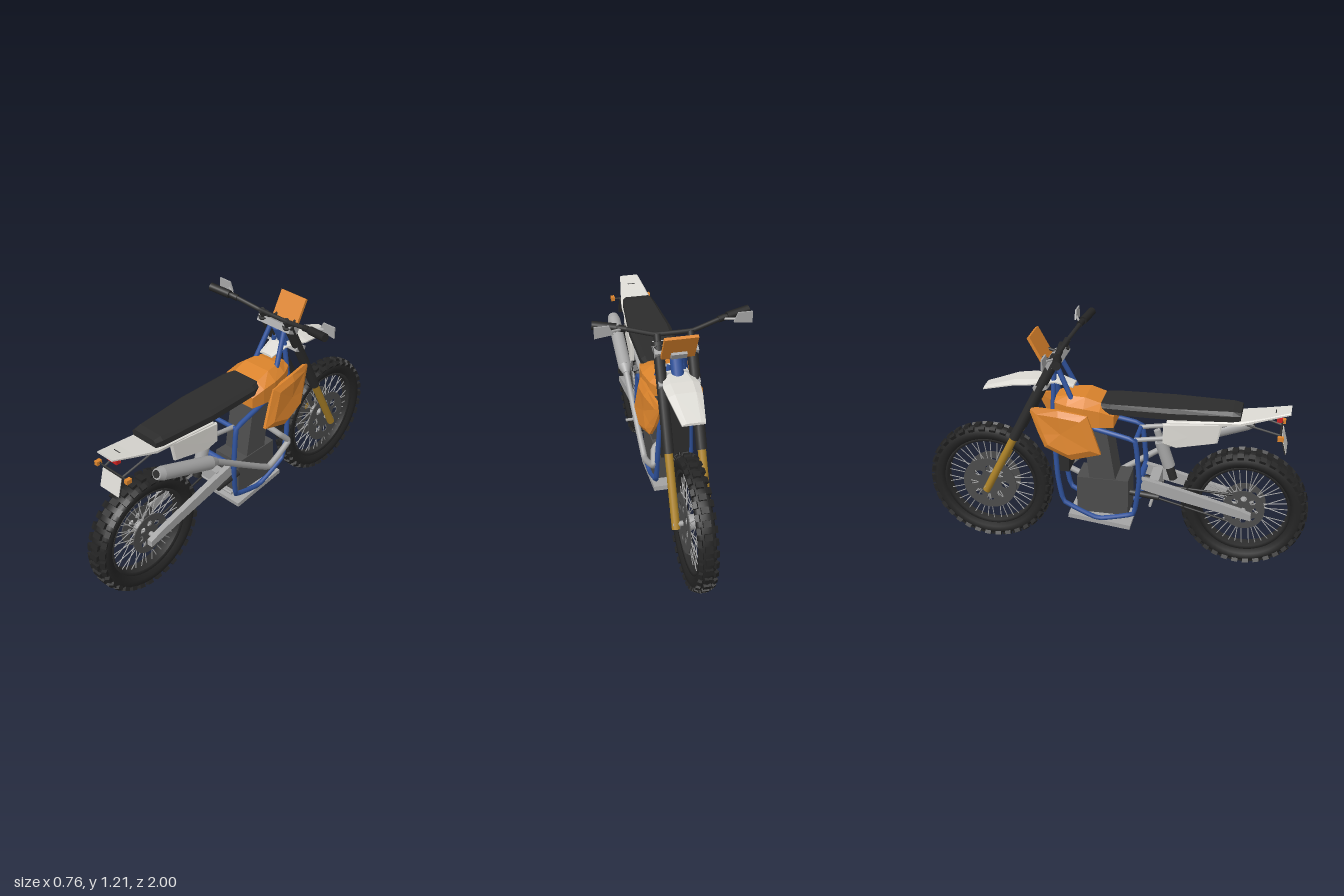
import * as THREE from 'three';
import { mergeGeometries } from 'three/addons/utils/BufferGeometryUtils.js';

const mat = (name, color) => Object.assign(new THREE.MeshStandardMaterial({ color }), { name });
const M = {
  tyre: mat('tyre black', 0x242424), black: mat('plastic black', 0x2c2c2c), dark: mat('motor grey', 0x4c4c4c),
  metal: mat('light metal', 0xa6a6a6), white: mat('body white', 0xdcdad4), orange: mat('body orange', 0xdc842c),
  blue: mat('frame blue', 0x2f529c), gold: mat('fork gold', 0xac8228), red: mat('lamp red', 0xcc2020),
};
const V = (p) => new THREE.Vector3(...p);

// Flat-shaded solid through rings of equal point count, closed at both ends
function loft(rings) {
  const n = rings[0].length, tris = [];
  for (let r = 0; r + 1 < rings.length; r++) for (let i = 0; i < n; i++) {
    const j = (i + 1) % n, a = rings[r][i], b = rings[r][j], c = rings[r + 1][j], d = rings[r + 1][i];
    tris.push([a, b, c], [a, c, d]);
  }
  const cap = (ring, flip) => {
    const m = [0, 1, 2].map((k) => ring.reduce((s, p) => s + p[k], 0) / n);
    ring.forEach((p, i) => { const q = ring[(i + 1) % n]; tris.push(flip ? [m, q, p] : [m, p, q]); });
  };
  cap(rings[0], true); cap(rings[rings.length - 1], false);
  const volume = tris.reduce((s, [a, b, c]) => s + V(a).dot(V(b).cross(V(c))), 0);
  const g = new THREE.BufferGeometry();
  g.setAttribute('position', new THREE.Float32BufferAttribute((volume < 0 ? tris.map((t) => [...t].reverse()) : tris).flat(2), 3));
  g.computeVertexNormals();
  return g;
}
// Body section along z: [z, half width, bottom, shoulder, top]
const body = (list, inset = 0.6) => loft(list.map(([z, w, b, m, t]) =>
  [[w, b, z], [w, m, z], [w * inset, t, z], [-w * inset, t, z], [-w, m, z], [-w, b, z]]));
// Side panel from an outline of [x, y, z], with a raised inner face
function panel(outline, thick, rise, shrink, s) {
  const c = [0, 1, 2].map((k) => outline.reduce((t, p) => t + p[k], 0) / outline.length);
  const ring = (dx, f) => outline.map((p) => [s * (p[0] + dx), c[1] + (p[1] - c[1]) * f, c[2] + (p[2] - c[2]) * f]);
  return loft([ring(-thick, 1), ring(0, 1), ring(rise, shrink)]);
}
function rod(a, b, r, r2 = r, seg = 14) {
  const A = V(a), B = V(b), d = B.clone().sub(A);
  const g = new THREE.CylinderGeometry(r2, r, d.length(), seg);
  g.applyQuaternion(new THREE.Quaternion().setFromUnitVectors(new THREE.Vector3(0, 1, 0), d.normalize()));
  return g.translate(...A.add(B).multiplyScalar(0.5).toArray());
}
const tube = (pts, r) => new THREE.TubeGeometry(new THREE.CatmullRomCurve3(pts.map(V), false, 'catmullrom', 0.12), 60, r, 10);
const box = (w, h, d, x, y, z, rx = 0) => new THREE.BoxGeometry(w, h, d).rotateX(rx).translate(x, y, z);

function addTo(group, name, material, ...geos) {
  const g = geos.length > 1 ? mergeGeometries(geos.map((q) => (q.index ? q.toNonIndexed() : q)).map((q) => {
    q.deleteAttribute('uv'); return q;
  })) : geos[0];
  const mesh = new THREE.Mesh(g, material);
  mesh.name = name;
  group.add(mesh);
}

function wheel(name, z, y, R, w, rimR, discR) {
  const g = new THREE.Group();
  g.name = name;
  const lathe = (pts) => new THREE.LatheGeometry(pts.map((p) => new THREE.Vector2(...p)), 56).rotateZ(Math.PI / 2);
  const base = R - 0.009, h = base - rimR;
  addTo(g, 'tyre', M.tyre, lathe([[rimR, -w * 0.6], [rimR + h * 0.3, -w * 0.92], [rimR + h * 0.65, -w * 0.95], [base - 0.012, -w * 0.7],
    [base, 0], [base - 0.012, w * 0.7], [rimR + h * 0.65, w * 0.95], [rimR + h * 0.3, w * 0.92], [rimR, w * 0.6], [rimR, -w * 0.6]]));
  // Tread blocks: a staggered centre row and two shoulder rows
  const knobs = [], spokes = [], N = 34;
  for (let i = 0; i < N; i++) {
    const a = (i / N) * Math.PI * 2;
    knobs.push(box(w * 0.8, 0.022, 0.03, 0, R - 0.011, 0).rotateX(a));
    for (const s of [-1, 1]) knobs.push(new THREE.BoxGeometry(w * 0.45, 0.03, 0.032).rotateZ(-s * 0.5)
      .translate(s * w * 0.75, R - 0.024, 0).rotateX(a + Math.PI / N));
  }
  addTo(g, 'treadBlocks', M.tyre, ...knobs);
  addTo(g, 'rim', M.black, lathe([[rimR - 0.012, -w * 0.55], [rimR + 0.004, -w * 0.65], [rimR + 0.004, w * 0.65], [rimR - 0.012, w * 0.55], [rimR - 0.012, -w * 0.55]]));
  for (let i = 0; i < 40; i++) {
    const a = (i / 40) * Math.PI * 2, s = i % 2 ? 1 : -1, b = a + (i % 4 < 2 ? 0.35 : -0.35);
    spokes.push(rod([s * 0.03, 0.035 * Math.cos(b), 0.035 * Math.sin(b)], [0, rimR * Math.cos(a), rimR * Math.sin(a)], 0.0025, 0.0025, 5));
  }
  addTo(g, 'spokes', M.metal, ...spokes);
  addTo(g, 'hub', M.metal, rod([-0.038, 0, 0], [0.038, 0, 0], 0.037), rod([-0.095, 0, 0], [0.095, 0, 0], 0.013));
  // Brake discs with a ring of openings
  const shape = new THREE.Shape().absarc(0, 0, discR, 0, Math.PI * 2);
  for (let i = 0; i < 8; i++) {
    const a = (i / 8) * Math.PI * 2;
    shape.holes.push(new THREE.Path().absarc(discR * 0.58 * Math.cos(a), discR * 0.58 * Math.sin(a), discR * 0.15, 0, Math.PI * 2, true));
  }
  const disc = (x) => new THREE.ExtrudeGeometry(shape, { depth: 0.005, bevelEnabled: false, curveSegments: 20 }).rotateY(Math.PI / 2).translate(x, 0, 0);
  addTo(g, 'brakeDiscs', M.dark, disc(0.04), disc(-0.045));
  g.position.set(0, y, z);
  return g;
}

export function createModel() {
  const root = new THREE.Group();
  root.name = 'motorcycle';
  const add = (...a) => addTo(root, ...a);
  const both = (fn) => [1, -1].flatMap(fn);

  root.add(wheel('rearWheel', 0.678, 0.333, 0.323, 0.058, 0.235, 0.108));
  root.add(wheel('frontWheel', -0.665, 0.338, 0.334, 0.044, 0.25, 0.145));

  // Frame
  add('frame', M.blue, ...both((s) => [
    tube([[s * 0.045, 1.06, -0.285], [s * 0.08, 0.82, -0.17], [s * 0.09, 0.745, -0.1], [s * 0.1, 0.695, 0.125], [s * 0.105, 0.47, 0.15],
      [s * 0.09, 0.27, 0.12], [s * 0.08, 0.215, -0.07], [s * 0.085, 0.30, -0.25], [s * 0.085, 0.45, -0.28], [s * 0.07, 0.75, -0.3], [s * 0.03, 1.0, -0.3]], 0.013),
  ]), rod([-0.1, 0.69, 0.125], [0.1, 0.69, 0.125], 0.012), rod([-0.1, 0.47, 0.15], [0.1, 0.47, 0.15], 0.016), rod([0, 1.07, -0.285], [0, 0.93, -0.355], 0.03));
  add('subframe', M.metal, ...both((s) => [rod([s * 0.075, 0.69, 0.12], [s * 0.075, 0.72, 0.3], 0.012), rod([s * 0.075, 0.72, 0.3], [s * 0.06, 0.83, 0.62], 0.01)]));

  // Motor, battery and radiator
  add('motor', M.dark, box(0.16, 0.2, 0.268, 0, 0.35, -0.046));
  add('battery', M.dark, loft([[0.45, 0.02, -0.115], [0.76, -0.03, -0.15]].map(([y, a, b]) => [[-0.075, y, a], [0.075, y, a], [0.075, y, b], [-0.075, y, b]])));
  add('radiator', M.black, box(0.14, 0.34, 0.085, 0, 0.64, -0.265));
  add('skidPlate', M.metal, box(0.18, 0.024, 0.33, 0, 0.2, -0.063, 0.12));
  add('footPegs', M.metal, rod([-0.152, 0.365, 0.215], [0.152, 0.365, 0.215], 0.008));
  add('pegBrackets', M.black, ...both((s) => [rod([s * 0.085, 0.38, 0.25], [s * 0.085, 0.395, 0.1], 0.016)]));

  // Rear suspension and drive
  add('swingarm', M.metal, ...both((s) => [loft([[0.15, 0.455, 0.03], [0.3, 0.42, 0.032], [0.66, 0.335, 0.022], [0.72, 0.318, 0.016]].map(([z, y, h]) =>
    [[s * 0.068, y - h, z], [s * 0.098, y - h, z], [s * 0.098, y + h, z], [s * 0.068, y + h, z]]))]), box(0.15, 0.07, 0.05, 0, 0.435, 0.22));
  add('chain', M.black, rod([-0.055, 0.265, 0.6], [-0.055, 0.38, 0.15], 0.006), rod([-0.055, 0.42, 0.62], [-0.055, 0.44, 0.15], 0.006));
  add('shockLower', M.black, rod([0, 0.45, 0.31], [0, 0.6, 0.262], 0.022));
  add('shockUpper', M.metal, rod([0, 0.52, 0.287], [0, 0.66, 0.24], 0.032), rod([0, 0.66, 0.24], [0, 0.72, 0.22], 0.018));

  // Exhaust on the left side
  add('exhaustPipe', M.metal, tube([[0.03, 0.51, -0.19], [0.09, 0.47, -0.22], [0.105, 0.405, -0.275], [0.115, 0.335, -0.1], [0.128, 0.61, 0.31]], 0.016));
  add('muffler', M.metal, rod([0.128, 0.605, 0.3], [0.128, 0.622, 0.345], 0.018, 0.035, 20), rod([0.128, 0.622, 0.345], [0.128, 0.738, 0.66], 0.035, 0.035, 20),
    rod([0.128, 0.738, 0.66], [0.128, 0.75, 0.69], 0.035, 0.027, 20));
  add('mufflerOutlet', M.black, rod([0.128, 0.749, 0.687], [0.128, 0.7515, 0.694], 0.019));

  // Seat, tank and body panels
  add('seat', M.black, body([[-0.1, 0.08, 0.835, 0.855, 0.875], [0, 0.108, 0.835, 0.865, 0.88], [0.3, 0.11, 0.835, 0.868, 0.885], [0.6, 0.085, 0.84, 0.87, 0.888], [0.64, 0.078, 0.845, 0.87, 0.882]], 0.8));
  add('tank', M.orange, body([[0.02, 0.11, 0.765, 0.825, 0.84], [-0.05, 0.125, 0.765, 0.85, 0.877], [-0.13, 0.128, 0.76, 0.86, 0.902], [-0.22, 0.11, 0.78, 0.86, 0.9], [-0.29, 0.075, 0.82, 0.86, 0.88]]));
  add('sideShrouds', M.orange, ...both((s) => [panel([[0.135, 0.825, -0.11], [0.13, 0.84, -0.26], [0.1, 0.832, -0.42], [0.12, 0.7, -0.365], [0.135, 0.635, -0.33],
    [0.145, 0.58, -0.19], [0.145, 0.625, -0.04]], 0.015, 0.017, 0.75, s)]));
  add('sidePanels', M.white, ...both((s) => [panel([[0.088, 0.825, 0.555], [0.105, 0.805, 0.265], [0.105, 0.7, 0.265], [0.1, 0.68, 0.33], [0.088, 0.72, 0.535]], 0.012, 0.004, 0.95, s)]));
  add('tail', M.white, body([[0.28, 0.1, 0.8, 0.81, 0.815], [0.64, 0.088, 0.822, 0.835, 0.842], [0.76, 0.07, 0.855, 0.864, 0.868], [0.878, 0.05, 0.886, 0.893, 0.897]], 0.9));
  add('frontFender', M.white, body([[-0.2, 0.04, 0.93, 0.937, 0.942], [-0.29, 0.055, 0.955, 0.962, 0.97], [-0.42, 0.088, 0.945, 0.952, 0.966], [-0.5, 0.082, 0.935, 0.942, 0.956], [-0.665, 0.055, 0.888, 0.894, 0.9]]));

  // Tail lamp, indicators and plate
  add('tailLamp', M.red, box(0.062, 0.022, 0.028, 0, 0.845, 0.825));
  add('tailLampBracket', M.black, box(0.04, 0.035, 0.02, 0, 0.862, 0.812));
  add('plateBacking', M.black, box(0.132, 0.102, 0.006, 0, 0.728, 0.851, -0.26), rod([-0.1, 0.78, 0.835], [0.1, 0.78, 0.835], 0.005));
  add('plateFace', M.white, box(0.126, 0.097, 0.003, 0, 0.729, 0.8555, -0.26));
  add('indicators', M.orange, ...both((s) => [box(0.02, 0.022, 0.03, s * 0.102, 0.782, 0.838)]));
  add('plateStays', M.dark, ...both((s) => [rod([s * 0.06, 0.78, 0.835], [s * 0.075, 0.83, 0.66], 0.005)]));

  // Fork, clamps and headlight mask
  add('forkUppers', M.black, ...both((s) => [rod([s * 0.08, 1.09, -0.28], [s * 0.08, 0.64, -0.508], 0.026)]));
  add('forkLowers', M.gold, ...both((s) => [rod([s * 0.08, 0.66, -0.498], [s * 0.08, 0.315, -0.673], 0.02)]));
  add('forkClamps', M.metal, box(0.21, 0.035, 0.075, 0, 1.075, -0.287, -0.47), box(0.2, 0.035, 0.07, 0, 0.94, -0.355, -0.47));
  add('headlightMask', M.orange, box(0.16, 0.16, 0.016, 0, 1.125, -0.373, -0.5));
  add('headlight', M.metal, box(0.075, 0.035, 0.02, 0, 1.078, -0.361, -0.5));
  add('maskStays', M.black, ...both((s) => [rod([s * 0.06, 1.075, -0.29], [s * 0.06, 1.09, -0.35], 0.008)]));

  // Handlebar
  const side = [[0.09, 1.137, -0.252], [0.24, 1.17, -0.222], [0.37, 1.186, -0.195]];
  add('handlebar', M.black, tube([...side.map(([x, y, z]) => [-x, y, z]).reverse(), ...side], 0.011),
    ...both((s) => [rod([s * 0.08, 1.085, -0.28], [s * 0.08, 1.14, -0.253], 0.017), rod([s * 0.08, 1.092, -0.278], [s * 0.08, 1.107, -0.27], 0.03)]));
  add('grips', M.tyre, ...both((s) => [rod([s * 0.265, 1.173, -0.217], [s * 0.375, 1.187, -0.194], 0.021), rod([s * 0.22, 1.166, -0.226], [s * 0.255, 1.172, -0.219], 0.016)]));
  add('handGuards', M.metal, ...both((s) => [loft([-0.26, -0.268].map((z) => [[s * 0.285, 1.165, z], [s * 0.375, 1.153, z], [s * 0.375, 1.212, z], [s * 0.305, 1.212, z]])),
    rod([s * 0.235, 1.168, -0.225], [s * 0.31, 1.178, -0.262], 0.006)]));
  return root;
}
